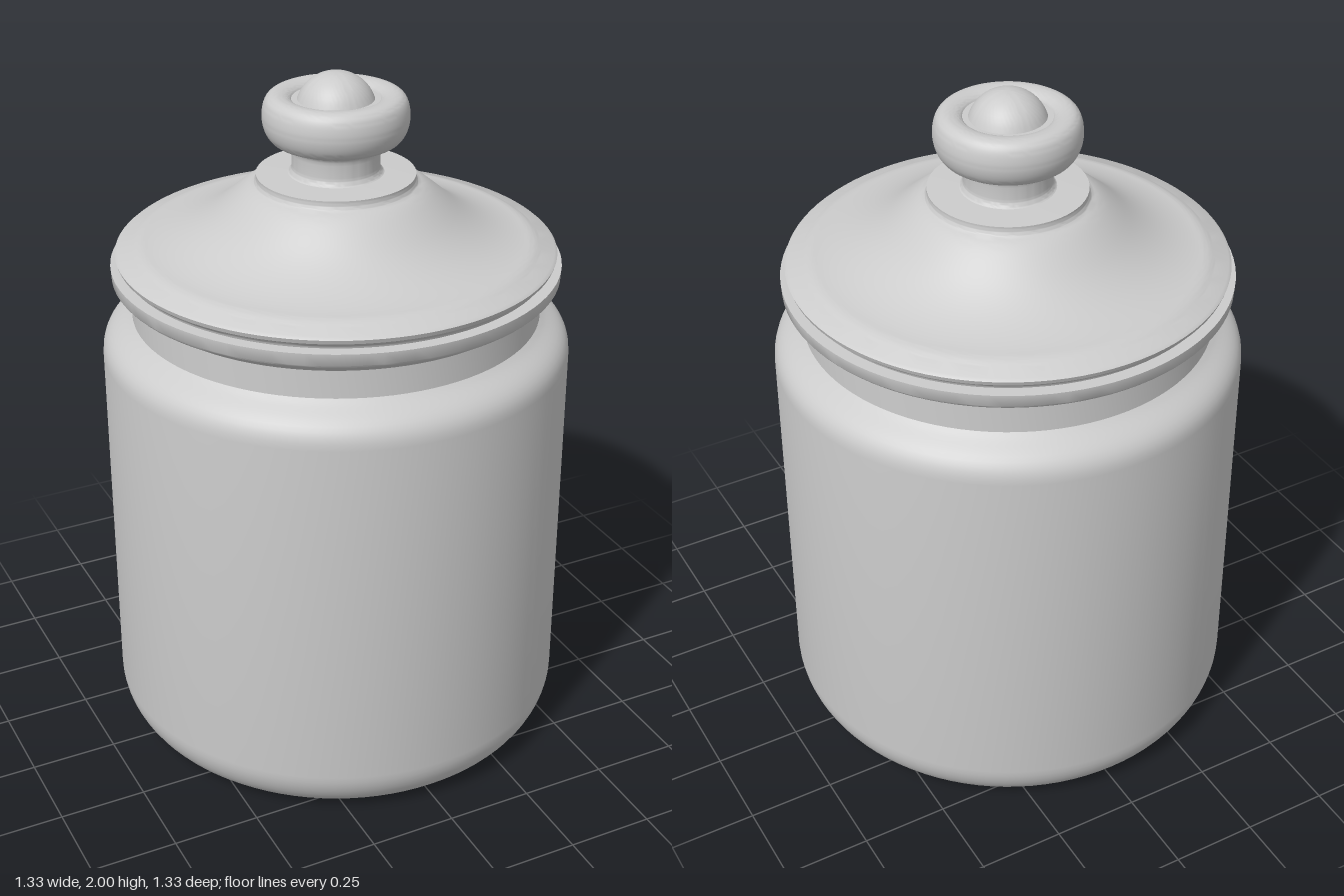
import * as THREE from 'three';
import { toCreasedNormals } from 'three/addons/utils/BufferGeometryUtils.js';

const SEGMENTS = 96;
const material = new THREE.MeshStandardMaterial({ color: 0xcccccc, side: THREE.DoubleSide });

// Revolves a profile drawn as a path, keeping its hard corners sharp
function turned(name, path) {
  const points = path.getPoints(10);
  const geometry = toCreasedNormals(new THREE.LatheGeometry(points, SEGMENTS), 0.6);
  const mesh = new THREE.Mesh(geometry, material);
  mesh.name = name;
  return mesh;
}

// Jar: recessed base, rounded foot, straight wall, shoulder, neck, flared lip, hollow inside
function jarProfile() {
  const p = new THREE.Path();
  p.moveTo(0, 0.045);
  p.bezierCurveTo(0.12, 0.045, 0.15, 0.06, 0.26, 0.06);
  p.bezierCurveTo(0.42, 0.06, 0.47, 0.03, 0.545, 0);
  p.lineTo(0.565, 0);
  p.bezierCurveTo(0.62, 0.008, 0.667, 0.075, 0.667, 0.14);
  p.lineTo(0.667, 1.2);
  p.bezierCurveTo(0.667, 1.27, 0.61, 1.28, 0.58, 1.31);
  p.lineTo(0.578, 1.39);
  p.bezierCurveTo(0.59, 1.405, 0.62, 1.41, 0.632, 1.43);
  p.lineTo(0.634, 1.464);
  p.lineTo(0.54, 1.464);
  p.lineTo(0.53, 1.3);
  p.bezierCurveTo(0.56, 1.27, 0.61, 1.26, 0.61, 1.18);
  p.lineTo(0.61, 0.16);
  p.quadraticCurveTo(0.6, 0.09, 0.5, 0.09);
  p.lineTo(0, 0.09);
  return p;
}

// Lid: thin flange, concave bell and small collar under the knob
function lidProfile() {
  const p = new THREE.Path();
  p.moveTo(0, 1.465);
  p.lineTo(0.6, 1.465);
  p.quadraticCurveTo(0.603, 1.478, 0.616, 1.484);
  p.lineTo(0.62, 1.496);
  p.lineTo(0.612, 1.503);
  p.lineTo(0.575, 1.511);
  p.quadraticCurveTo(0.555, 1.524, 0.53, 1.525);
  p.bezierCurveTo(0.45, 1.535, 0.38, 1.57, 0.32, 1.623);
  p.bezierCurveTo(0.28, 1.657, 0.255, 1.68, 0.23, 1.688);
  p.quadraticCurveTo(0.22, 1.695, 0.222, 1.714);
  p.lineTo(0.14, 1.717);
  p.lineTo(0, 1.717);
  return p;
}

// Knob: waisted stem, bulging ring, shallow groove and a domed button
function knobProfile() {
  const p = new THREE.Path();
  p.moveTo(0.14, 1.714);
  p.quadraticCurveTo(0.123, 1.72, 0.123, 1.74);
  p.lineTo(0.123, 1.775);
  p.bezierCurveTo(0.123, 1.812, 0.16, 1.798, 0.18, 1.816);
  p.bezierCurveTo(0.2, 1.835, 0.206, 1.87, 0.202, 1.895);
  p.bezierCurveTo(0.198, 1.927, 0.185, 1.942, 0.16, 1.942);
  p.quadraticCurveTo(0.13, 1.94, 0.122, 1.926);
  p.lineTo(0.106, 1.926);
  p.bezierCurveTo(0.09, 1.972, 0.05, 2, 0, 2);
  return p;
}

export function createModel() {
  const model = new THREE.Group();
  model.name = 'liddedJar';

  const lid = new THREE.Group();
  lid.name = 'lid';
  lid.add(turned('lidCover', lidProfile()), turned('lidKnob', knobProfile()));

  model.add(turned('jarBody', jarProfile()), lid);
  return model;
}
